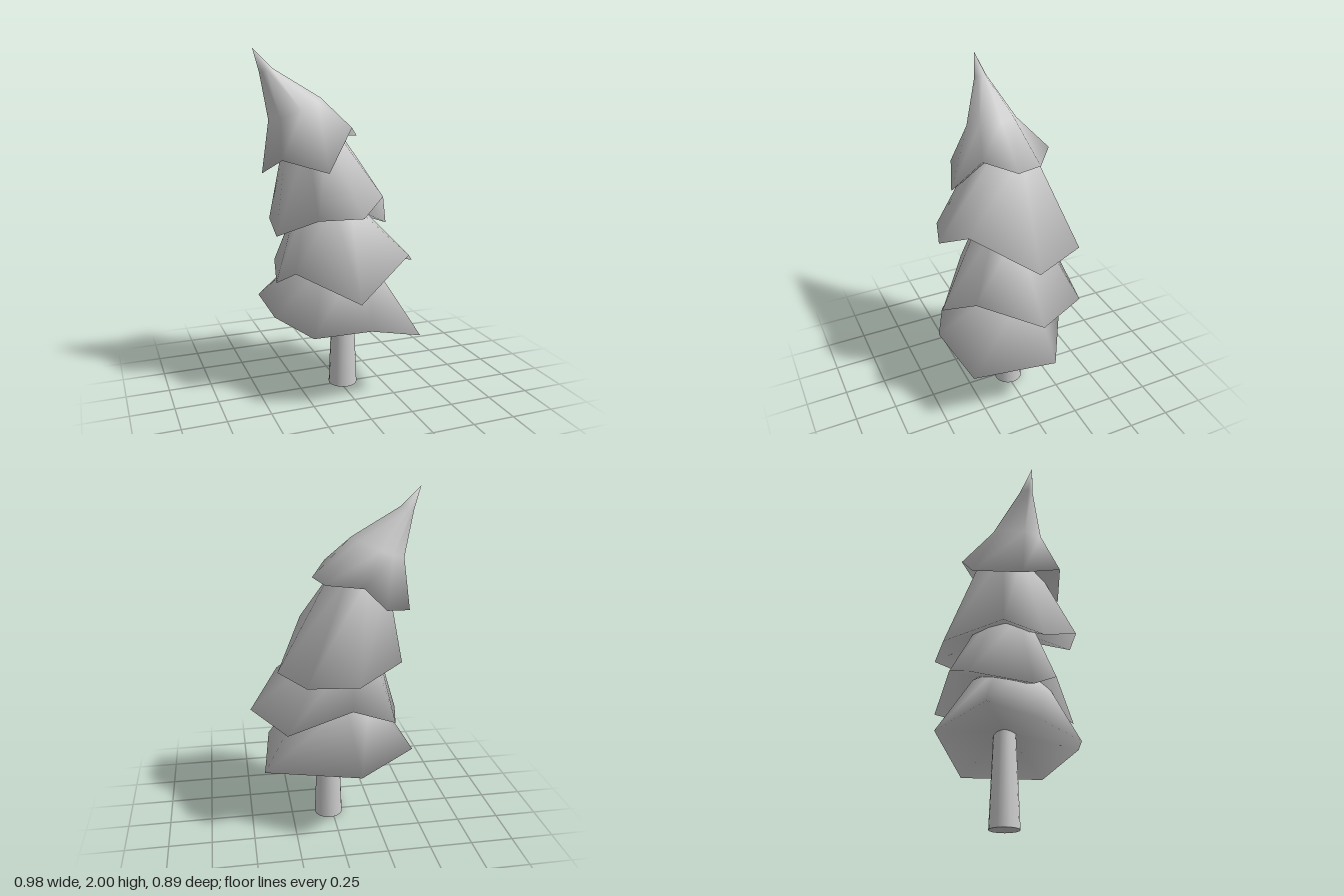
import * as THREE from 'three';

const grey = new THREE.MeshStandardMaterial({ color: 0xcccccc, side: THREE.DoubleSide });
grey.name = 'plain grey';

// Closed smooth skin: underside point, loops of equal length from the rim up, outer tip
function skin(under, loops, tip) {
  const n = loops[0].length, underId = loops.length * n, tipId = underId + 1;
  const index = [];
  for (let i = 0; i < n; i++) {
    const j = (i + 1) % n;
    index.push(j, i, underId);
    for (let k = 0; k < loops.length - 1; k++) {
      const a = k * n + i, b = k * n + j;
      index.push(a, b, b + n, a, b + n, a + n);
    }
    index.push(underId - n + i, underId - n + j, tipId);
  }
  const g = new THREE.BufferGeometry();
  g.setAttribute('position', new THREE.Float32BufferAttribute([...loops.flat(2), ...under, ...tip], 3));
  g.setIndex(index);
  g.computeVertexNormals();
  return g;
}

// Ring around a centre, matching the directions of the rim corners; tilt raises the +x side
function ring(rim, [cx, cy, cz], r, tilt = 0) {
  const mx = rim.reduce((s, p) => s + p[0], 0) / rim.length;
  const mz = rim.reduce((s, p) => s + p[2], 0) / rim.length;
  return rim.map(([x, , z]) => {
    const a = Math.atan2(x - mx, z - mz);
    return [cx + r * Math.sin(a), cy + tilt * r * Math.sin(a), cz + r * Math.cos(a)];
  });
}

// Rim corners run from the front round by +x; rings are [centre, radius, tilt]
const tiers = [
  {
    name: 'bottomTier',
    rim: [[0.02, 0.49, 0.445], [0.36, 0.39, 0.36], [0.42, 0.37, -0.14], [-0.1, 0.46, -0.45],
      [-0.43, 0.53, -0.28], [-0.41, 0.48, 0.02], [-0.27, 0.44, 0.32]],
    rings: [[[-0.03, 0.8, -0.01], 0.22]],
    tip: [-0.03, 0.95, -0.01], under: [0.01, 0.54, -0.01],
  },
  {
    name: 'lowerMiddleTier',
    rim: [[-0.02, 0.63, 0.4], [0.3, 0.86, 0.31], [0.485, 0.73, -0.02], [0.3, 0.7, -0.35],
      [-0.06, 0.83, -0.37], [-0.31, 0.73, -0.335], [-0.39, 0.68, 0], [-0.32, 0.77, 0.16]],
    rings: [[[-0.08, 1.14, -0.04], 0.17]],
    tip: [-0.09, 1.25, -0.04], under: [-0.01, 0.83, 0],
  },
  {
    name: 'upperMiddleTier',
    rim: [[-0.01, 1.11, 0.4], [0.15, 1.2, 0.28], [0.325, 0.97, -0.07], [0.195, 0.99, -0.39],
      [-0.09, 0.99, -0.42], [-0.38, 1.03, -0.17], [-0.4, 0.97, 0.06], [-0.24, 1.1, 0.33]],
    rings: [[[-0.14, 1.52, -0.06], 0.17, 0.1]],
    tip: [-0.17, 1.6, -0.06], under: [-0.06, 1.16, -0.02],
  },
  {
    name: 'topTier',
    rim: [[-0.155, 1.34, 0.26], [0.02, 1.57, 0.14], [0.115, 1.51, -0.03], [0.065, 1.5, -0.19],
      [-0.12, 1.51, -0.335], [-0.25, 1.38, -0.31], [-0.44, 1.31, -0.08], [-0.39, 1.41, 0.17]],
    rings: [[[-0.255, 1.67, -0.035], 0.15, 0.4], [[-0.415, 1.88, -0.04], 0.037, 0.3]],
    tip: [-0.49, 2, -0.035], under: [-0.16, 1.52, -0.05],
  },
];

export function createModel() {
  const tree = new THREE.Group();
  tree.name = 'leaningTree';

  // Tapered trunk
  const trunk = new THREE.Mesh(new THREE.CylinderGeometry(0.063, 0.086, 0.56, 16), grey);
  trunk.name = 'trunk';
  trunk.position.set(0.023, 0.28, -0.012);
  tree.add(trunk);

  // Ragged foliage tiers, shaded smoothly over the rim
  for (const t of tiers) {
    const rings = t.rings.map(([c, r, tilt]) => ring(t.rim, c, r, tilt));
    const tier = new THREE.Mesh(skin(t.under, [t.rim, ...rings], t.tip), grey);
    tier.name = t.name;
    tree.add(tier);
  }
  return tree;
}
